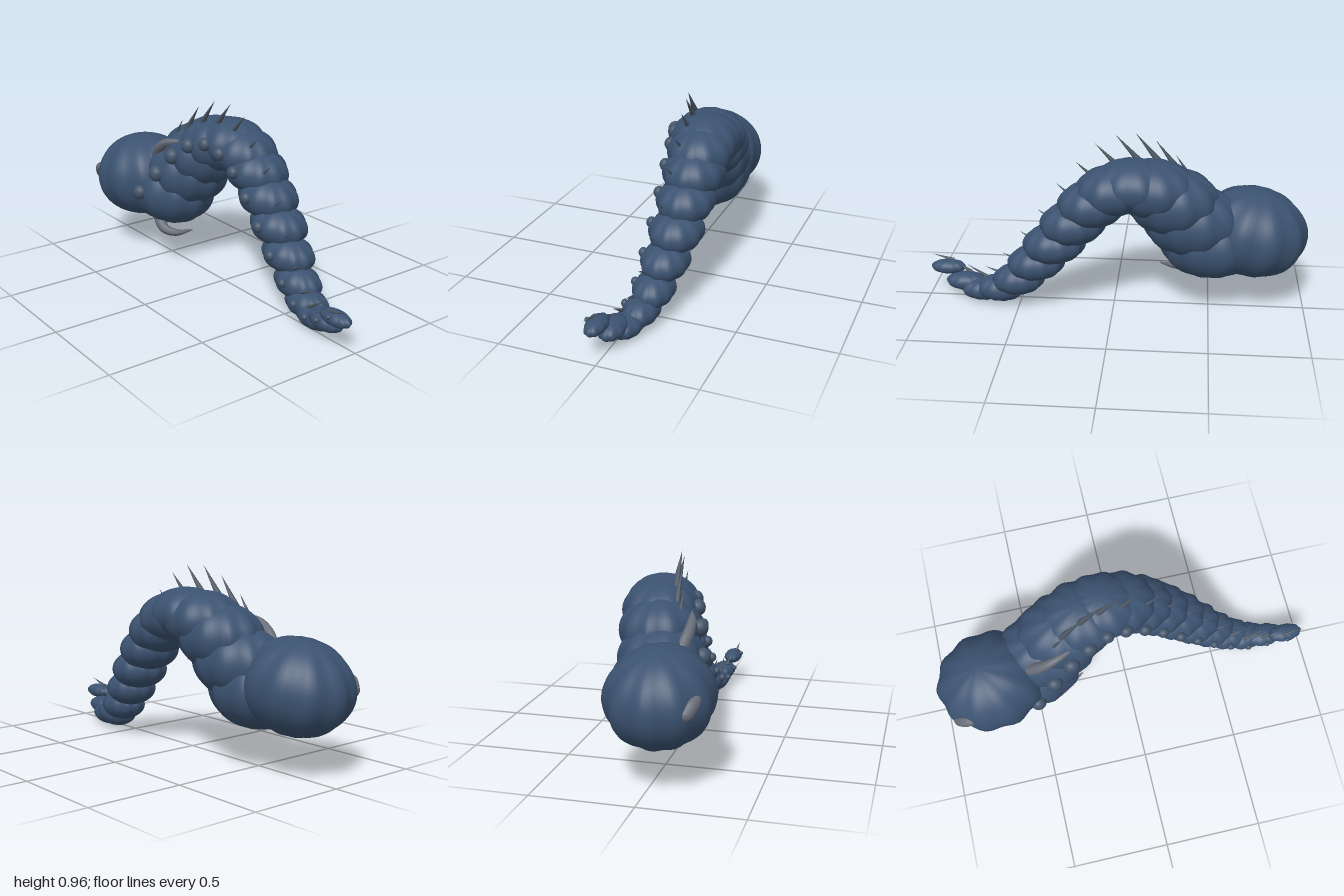
import * as THREE from 'three';
import { mergeVertices } from 'three/addons/utils/BufferGeometryUtils.js';

// Unit sphere with soft lobes around its vertical axis
function lobedSphere(lobes = 10, depth = 0.03) {
  const g = new THREE.SphereGeometry(1, 60, 28);
  g.deleteAttribute('uv');
  g.deleteAttribute('normal');
  const p = g.attributes.position;
  for (let i = 0; i < p.count; i++) {
    const x = p.getX(i), z = p.getZ(i);
    const k = 1 - depth + depth * Math.cos(lobes * Math.atan2(z, x));
    p.setXYZ(i, x * k, p.getY(i), z * k);
  }
  const merged = mergeVertices(g, 1e-4);
  merged.computeVertexNormals();
  return merged;
}

// Curved horn that tapers from base to tip
function hornGeometry(points, r0, r1) {
  const curve = new THREE.CatmullRomCurve3(points.map((a) => new THREE.Vector3(...a)));
  const seg = 24, sides = 12;
  const g = new THREE.TubeGeometry(curve, seg, 1, sides);
  const p = g.attributes.position, v = new THREE.Vector3();
  for (let i = 0; i <= seg; i++) {
    const c = curve.getPointAt(i / seg), r = r0 + (r1 - r0) * (i / seg) ** 1.5;
    for (let j = 0; j <= sides; j++) {
      const n = i * (sides + 1) + j;
      v.fromBufferAttribute(p, n).sub(c).multiplyScalar(r).add(c);
      p.setXYZ(n, v.x, v.y, v.z);
    }
  }
  g.computeVertexNormals();
  return g;
}

export function createModel() {
  const group = new THREE.Group();
  const mat = (name, color) => {
    const m = new THREE.MeshStandardMaterial({ color });
    m.name = name;
    return m;
  };
  const skin = mat('blue skin', 0x3b5270);
  const nodeSkin = mat('grey blue nodule', 0x43546a);
  const spineMat = mat('dark grey spine', 0x4c5661);
  const hornMat = mat('grey horn', 0x666b76);

  const add = (name, geo, material, pos = [0, 0, 0], scale = [1, 1, 1], tilt = 0) => {
    const m = new THREE.Mesh(geo, material);
    m.name = name;
    m.position.set(...pos);
    m.scale.set(...scale);
    m.rotation.z = tilt;
    group.add(m);
    return m;
  };

  const blob = lobedSphere();
  const ball = new THREE.SphereGeometry(1, 16, 12);
  const cone = new THREE.ConeGeometry(1, 1, 10);

  // Head
  add('head', blob, skin, [-0.715, 0.425, 0.037], [0.288, 0.232, 0.262], 0.2);

  // Body segments: centre x, y, z, radii x, y, z, nodule size, spine tip height
  const segments = [
    [-0.5, 0.385, -0.01, 0.27, 0.19, 0.22, 0.04, 0],
    [-0.4, 0.51, -0.045, 0.255, 0.18, 0.21, 0.044, 0.83],
    [-0.3, 0.625, -0.075, 0.238, 0.168, 0.203, 0.044, 0.915],
    [-0.2, 0.7, -0.1, 0.222, 0.145, 0.193, 0.04, 0.96],
    [-0.1, 0.725, -0.12, 0.207, 0.13, 0.178, 0.036, 0.96],
    [0, 0.695, -0.13, 0.192, 0.127, 0.168, 0.035, 0.915],
    [0.1, 0.62, -0.132, 0.18, 0.118, 0.158, 0.033, 0.82],
    [0.2, 0.51, -0.128, 0.172, 0.11, 0.148, 0.031, 0.7],
    [0.3, 0.388, -0.118, 0.165, 0.102, 0.138, 0.029, 0.55],
    [0.4, 0.268, -0.1, 0.153, 0.092, 0.122, 0.026, 0.42],
    [0.5, 0.158, -0.08, 0.141, 0.083, 0.105, 0.022, 0.285],
    [0.6, 0.088, -0.055, 0.13, 0.07, 0.09, 0.02, 0.19],
    [0.7, 0.063, -0.028, 0.122, 0.059, 0.078, 0.017, 0.185],
    [0.8, 0.092, 0, 0.108, 0.048, 0.065, 0.014, 0.205],
    [0.902, 0.155, 0.035, 0.094, 0.038, 0.05, 0.012, 0.217],
  ];
  const up = new THREE.Vector3(0, 1, 0);
  segments.forEach(([x, y, z, rx, ry, rz, node, tipY], i) => {
    const tilt = i < 5 ? 0 : i < 11 ? -0.1 : 0;
    add('bodySegment', blob, skin, [x, y, z], [rx, ry, rz], tilt);
    // Nodule on the front flank
    add('sideNodule', ball, nodeSkin, [x, y + 0.018, z + rz * 0.97], [node, node, node * 0.9]);
    if (!tipY) return;
    // Spine leaning toward the tail
    const zs = z + rz * 0.42;
    const base = new THREE.Vector3(x - 0.025, y + ry * 0.8, zs);
    const dir = new THREE.Vector3(x + 0.092, tipY, zs).sub(base);
    const r = 0.006 + node * 0.28;
    const spine = add('backSpine', cone, spineMat, base.clone().addScaledVector(dir, 0.5).toArray(),
      [r, dir.length(), r]);
    spine.quaternion.setFromUnitVectors(up, dir.normalize());
  });

  // Curved horns around the head
  const horn = (name, points, r0, r1) => {
    add(name, hornGeometry(points, r0, r1), hornMat);
    add(name + 'Base', ball, hornMat, points[0], [r0, r0, r0]);
  };
  horn('upperHorn', [[-0.5, 0.6, 0.085], [-0.45, 0.65, 0.1], [-0.38, 0.695, 0.1], [-0.29, 0.715, 0.07]], 0.03, 0.012);
  horn('lowerHorn', [[-0.47, 0.245, 0.1], [-0.41, 0.2, 0.11], [-0.34, 0.187, 0.08], [-0.24, 0.225, 0.035]], 0.032, 0.003);
  horn('mouthHorn', [[-0.905, 0.415, 0.205], [-0.875, 0.45, 0.228], [-0.83, 0.463, 0.235], [-0.79, 0.435, 0.235]], 0.034, 0.02);
  add('mouthHornTip', ball, hornMat, [-0.79, 0.435, 0.235], [0.02, 0.02, 0.02]);

  return group;
}
